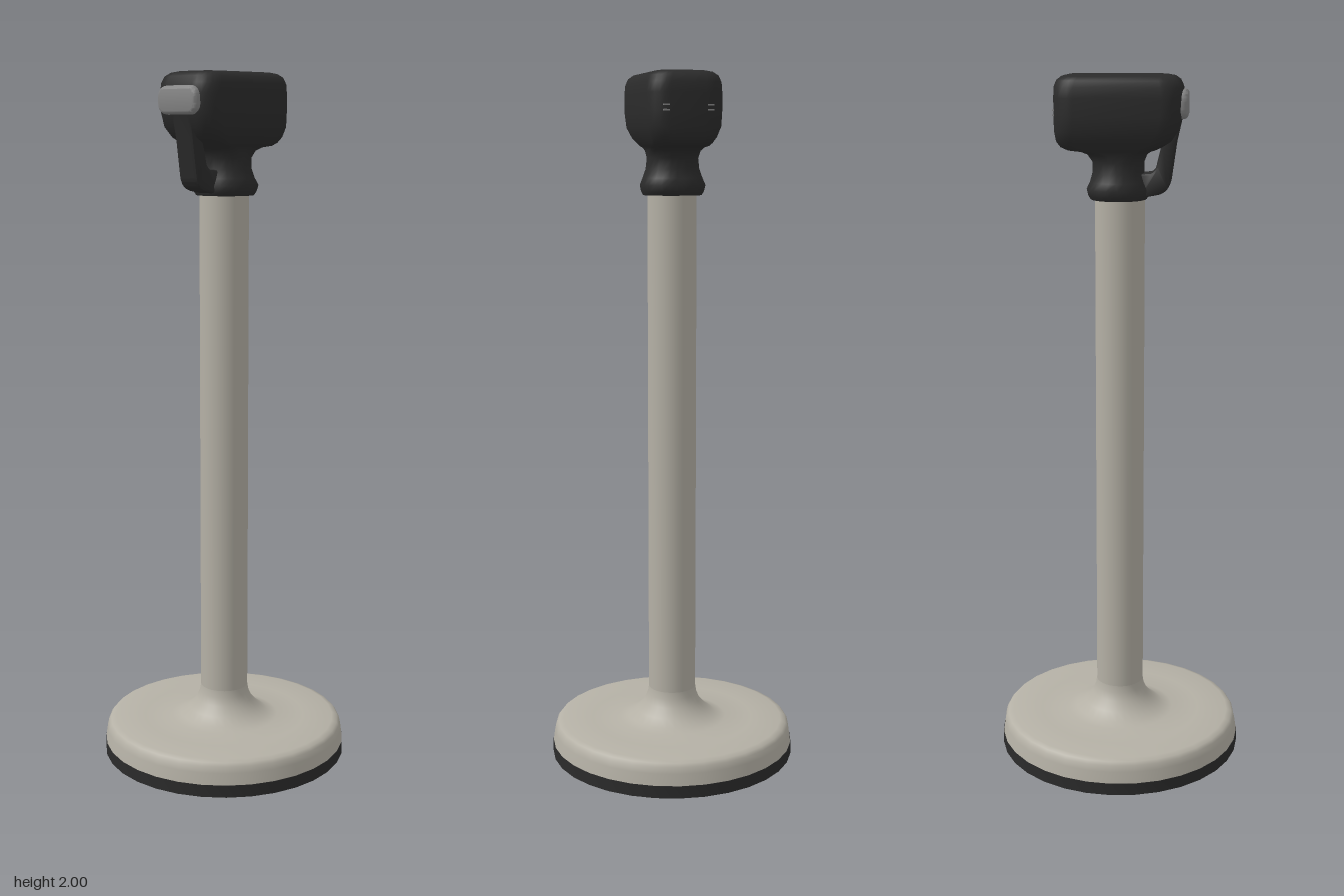
import * as THREE from 'three';
import { toCreasedNormals } from 'three/addons/utils/BufferGeometryUtils.js';

const beige = new THREE.MeshStandardMaterial({ color: 0xb4b0a5 });
beige.name = 'warm grey metal';
const black = new THREE.MeshStandardMaterial({ color: 0x2b2b2b });
black.name = 'black plastic';
const grey = new THREE.MeshStandardMaterial({ color: 0x858585 });
grey.name = 'grey insert';

function mesh(name, geometry, material) {
  const m = new THREE.Mesh(geometry, material);
  m.name = name;
  return m;
}

function lathe(points, segments = 32) {
  const g = new THREE.LatheGeometry(points.map(([r, y]) => new THREE.Vector2(r, y)), segments);
  return toCreasedNormals(g, 0.7);
}

// Lofts rounded rectangles [y, half width, back z, front z, corner radius], bottom to top
function loft(sections, perCorner = 7) {
  const pos = [], idx = [], n = perCorner * 4;
  for (const [y, hx, z0, z1, r] of sections) {
    const hz = (z1 - z0) / 2, cz = (z0 + z1) / 2, rr = Math.min(r, hx, hz);
    for (let c = 0; c < 4; c++) {
      const sx = c === 0 || c === 3 ? 1 : -1, sz = c < 2 ? 1 : -1;
      for (let i = 0; i < perCorner; i++) {
        const a = (c + i / (perCorner - 1)) * Math.PI / 2;
        pos.push(sx * (hx - rr) + rr * Math.cos(a), y, cz + sz * (hz - rr) + rr * Math.sin(a));
      }
    }
  }
  for (let s = 0; s < sections.length - 1; s++) {
    for (let i = 0; i < n; i++) {
      const a = s * n + i, b = s * n + (i + 1) % n;
      idx.push(a, a + n, b, b, a + n, b + n);
    }
  }
  // End caps
  const top = (sections.length - 1) * n;
  for (let i = 1; i < n - 1; i++) {
    idx.push(0, i, i + 1, top, top + i + 1, top + i);
  }
  const g = new THREE.BufferGeometry();
  g.setAttribute('position', new THREE.Float32BufferAttribute(pos, 3));
  g.setIndex(idx);
  return toCreasedNormals(g, 0.9);
}

function createBase() {
  const base = new THREE.Group();
  base.name = 'base';
  // Hollow shell: recessed underside, rim, rounded top and flare into the pole
  base.add(mesh('baseShell', lathe([
    [0, 0.17], [0.03, 0.155], [0.06, 0.115], [0.11, 0.09], [0.31, 0.08], [0.315, 0.012],
    [0.335, 0.012], [0.335, 0.035], [0.359, 0.035], [0.354, 0.07], [0.35, 0.088], [0.343, 0.097],
    [0.328, 0.102], [0.24, 0.102], [0.16, 0.104], [0.132, 0.112], [0.105, 0.131],
    [0.083, 0.156], [0.073, 0.18], [0.07, 0.2],
  ]), beige));
  base.add(mesh('floorRing', lathe([
    [0.333, 0.036], [0.333, 0], [0.36, 0], [0.36, 0.036], [0.333, 0.036],
  ]), black));
  return base;
}

function createHead() {
  const head = new THREE.Group();
  head.name = 'head';
  // Flared collar blending into the rounded housing
  head.add(mesh('housing', loft([
    [1.662, 0.083, -0.082, 0.075, 0.08],
    [1.672, 0.088, -0.088, 0.08, 0.08],
    [1.69, 0.092, -0.092, 0.08, 0.08],
    [1.71, 0.085, -0.083, 0.074, 0.08],
    [1.735, 0.076, -0.076, 0.068, 0.075],
    [1.765, 0.072, -0.077, 0.068, 0.07],
    [1.785, 0.074, -0.09, 0.076, 0.065],
    [1.794, 0.077, -0.112, 0.088, 0.06],
    [1.798, 0.08, -0.145, 0.1, 0.055],
    [1.806, 0.085, -0.162, 0.118, 0.055],
    [1.822, 0.094, -0.173, 0.143, 0.055],
    [1.85, 0.105, -0.177, 0.162, 0.055],
    [1.89, 0.108, -0.178, 0.174, 0.058],
    [1.94, 0.108, -0.178, 0.177, 0.058],
    [1.968, 0.106, -0.177, 0.174, 0.058],
    [1.986, 0.099, -0.17, 0.166, 0.055],
    [1.996, 0.086, -0.157, 0.152, 0.05],
    [2.0, 0.068, -0.138, 0.132, 0.04],
  ]), black));

  // Front bar from the housing down to the collar, leaving an open gap behind it
  const bar = new THREE.Shape();
  bar.moveTo(0.166, 1.88);
  bar.lineTo(0.152, 1.82);
  bar.lineTo(0.138, 1.72);
  bar.quadraticCurveTo(0.134, 1.69, 0.108, 1.682);
  bar.lineTo(0.06, 1.672);
  bar.lineTo(0.06, 1.728);
  bar.lineTo(0.088, 1.73);
  bar.quadraticCurveTo(0.106, 1.736, 0.11, 1.76);
  bar.lineTo(0.122, 1.81);
  bar.lineTo(0.122, 1.88);
  const barGeo = new THREE.ExtrudeGeometry(bar, {
    depth: 0.05, bevelEnabled: true, bevelThickness: 0.01, bevelSize: 0.006, bevelSegments: 2,
  });
  barGeo.translate(0, 0, -0.025).rotateY(-Math.PI / 2);
  head.add(mesh('frontBar', toCreasedNormals(barGeo, 0.7), black));

  // Raised front insert with rounded corners
  const w = 0.065, b = 1.893, t = 1.951, r = 0.022;
  const face = new THREE.Shape();
  face.moveTo(-w + r, b);
  face.lineTo(w - r, b);
  face.quadraticCurveTo(w, b, w, b + r);
  face.lineTo(w, t - r);
  face.quadraticCurveTo(w, t, w - r, t);
  face.lineTo(-w + r, t);
  face.quadraticCurveTo(-w, t, -w, t - r);
  face.lineTo(-w, b + r);
  face.quadraticCurveTo(-w, b, -w + r, b);
  const faceGeo = new THREE.ExtrudeGeometry(face, {
    depth: 0.014, bevelEnabled: true, bevelThickness: 0.014, bevelSize: 0.01, bevelSegments: 3,
  });
  faceGeo.translate(0, 0, 0.161);
  head.add(mesh('frontInsert', toCreasedNormals(faceGeo, 0.7), grey));

  // Small paired marks on the back
  for (const x of [-0.062, 0.062]) {
    for (const y of [1.893, 1.907]) {
      const mark = mesh('backMark', new THREE.BoxGeometry(0.018, 0.004, 0.006), grey);
      mark.position.set(x, y, -0.176);
      head.add(mark);
    }
  }
  return head;
}

export function createModel() {
  const model = new THREE.Group();
  model.name = 'post';
  model.add(createBase());
  const pole = mesh('pole', new THREE.CylinderGeometry(0.07, 0.07, 1.49, 32, 1, true), beige);
  pole.position.y = 0.935;
  model.add(pole);
  model.add(createHead());
  return model;
}
